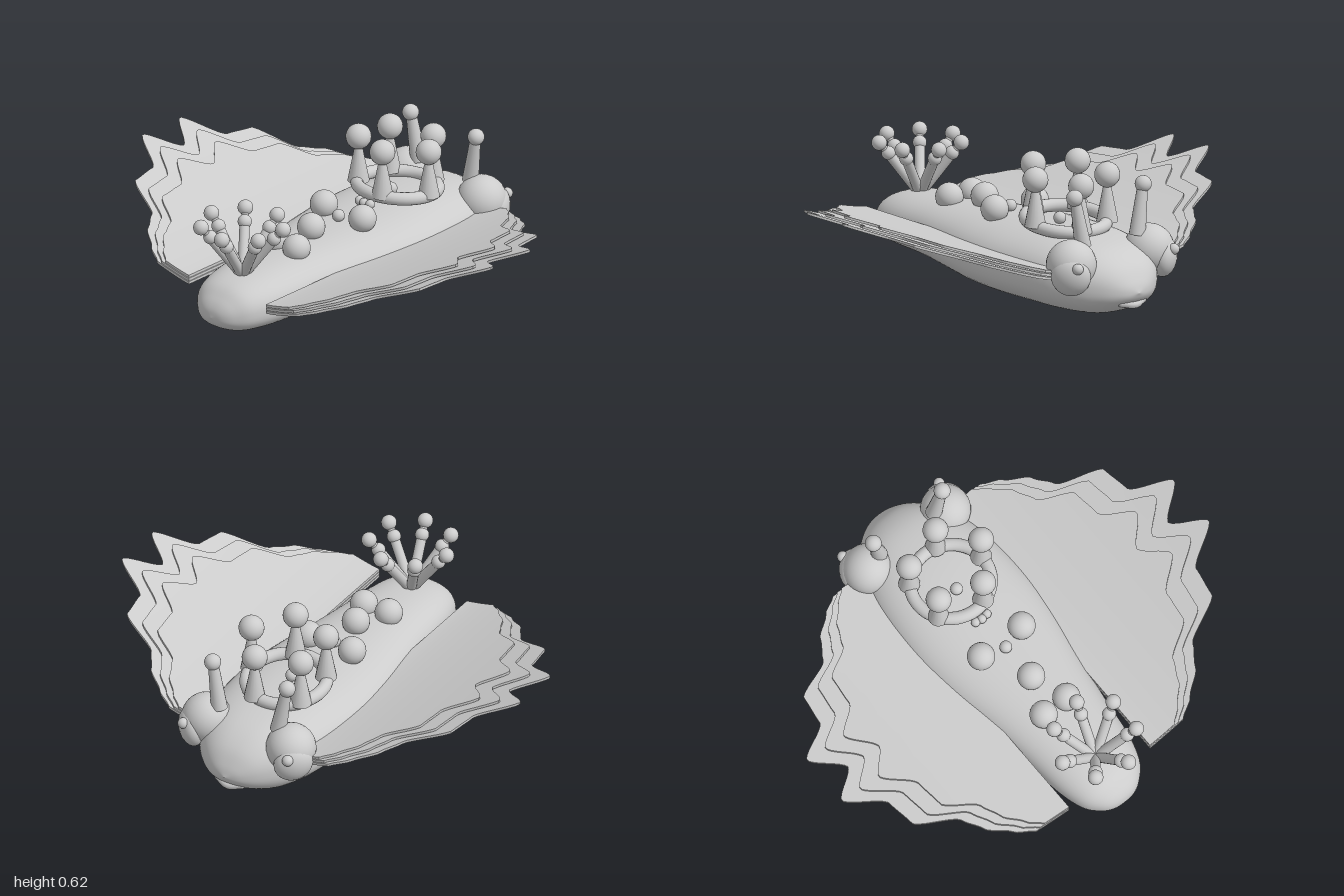
import * as THREE from 'three';
import { toCreasedNormals } from 'three/addons/utils/BufferGeometryUtils.js';

const V = (x, y, z) => new THREE.Vector3(x, y, z);

export function createModel() {
  const model = new THREE.Group();
  model.name = 'seaSlug';
  const skin = new THREE.MeshStandardMaterial({ color: 0xcccccc });
  skin.name = 'paleGrey';

  const add = (name, geometry, parent = model) => {
    const mesh = new THREE.Mesh(geometry, skin);
    mesh.name = name;
    parent.add(mesh);
    return mesh;
  };
  const ball = (name, p, r, parent) => {
    const mesh = add(name, new THREE.SphereGeometry(r, 24, 16), parent);
    mesh.position.copy(p);
    return mesh;
  };
  // Tapered rod between two points
  const rod = (name, a, b, ra, rb, parent) => {
    const d = b.clone().sub(a);
    const mesh = add(name, new THREE.CylinderGeometry(rb, ra, d.length(), 16), parent);
    mesh.position.copy(a).addScaledVector(d, 0.5);
    mesh.quaternion.setFromUnitVectors(V(0, 1, 0), d.normalize());
    return mesh;
  };

  // Body: rounded cross-sections [z, half width, top, bottom] from tail to head
  const stations = [
    [0.82, 0, 0.12, 0.12], [0.81, 0.06, 0.16, 0.09], [0.78, 0.11, 0.2, 0.065],
    [0.72, 0.16, 0.245, 0.045], [0.6, 0.195, 0.27, 0.035], [0.4, 0.22, 0.285, 0.03],
    [0.2, 0.255, 0.295, 0.015], [0, 0.295, 0.305, 0.003], [-0.2, 0.315, 0.315, 0],
    [-0.4, 0.305, 0.32, 0], [-0.55, 0.28, 0.31, 0], [-0.68, 0.225, 0.285, 0.01],
    [-0.77, 0.15, 0.235, 0.045], [-0.82, 0.075, 0.17, 0.085], [-0.84, 0, 0.12, 0.12],
  ];
  const spline = (k) => new THREE.CatmullRomCurve3(
    stations.map((s) => V(s[1], s[k], s[0])), false, 'catmullrom', 0.5);
  const upper = spline(2), lower = spline(3);
  const rows = 70, cols = 48, pos = [], idx = [];
  const soft = (v) => Math.sign(v) * Math.abs(v) ** 0.85;
  for (let i = 0; i <= rows; i++) {
    const a = upper.getPoint(i / rows), b = lower.getPoint(i / rows);
    const mid = b.y + (a.y - b.y) * 0.45;
    for (let j = 0; j < cols; j++) {
      const t = (j / cols) * Math.PI * 2, s = soft(Math.sin(t));
      pos.push(Math.max(a.x, 0) * soft(Math.cos(t)), mid + s * (s > 0 ? a.y - mid : mid - b.y), a.z);
      if (i < rows) {
        const p = i * cols + j, q = i * cols + (j + 1) % cols;
        idx.push(p, p + cols, q, q, p + cols, q + cols);
      }
    }
  }
  const bodyGeo = new THREE.BufferGeometry();
  bodyGeo.setAttribute('position', new THREE.Float32BufferAttribute(pos, 3));
  bodyGeo.setIndex(idx);
  bodyGeo.computeVertexNormals();
  add('body', bodyGeo);

  // Side frills: three stacked thin plates with a scalloped outer edge [z offset, x]
  const edge = [[0, 0.87], [0.117, 1], [0.23, 0.835], [0.365, 0.815], [0.46, 0.63],
    [0.55, 0.575], [0.63, 0.48], [0.68, 0.4]];
  const root = 0.22, thick = 0.012;
  const reach = (d) => {
    let i = 0;
    while (i < edge.length - 2 && d > edge[i + 1][0]) i++;
    const [d0, x0] = edge[i], [d1, x1] = edge[i + 1];
    const k = Math.min(1, (d - d0) / (d1 - d0));
    return x0 + (x1 - x0) * (0.4 * k + 0.6 * k * k * (3 - 2 * k));
  };
  const frill = (side, layer) => {
    const g = new THREE.BoxGeometry(1, 1, 1, 16, 1, 100);
    const p = g.attributes.position;
    for (let i = 0; i < p.count; i++) {
      const u = 0.5 + side * p.getX(i), off = p.getZ(i) * 1.36;
      const full = reach(Math.abs(off)) - root;
      // the scallops fade in toward the rim
      const span = (full * u) * (1 - 0.13 * layer);
      const rise = 0.255 * (span / 0.78) ** 1.25;
      p.setXYZ(i, side * (root + span),
        0.178 + layer * 0.015 + rise + p.getY(i) * thick, 0.035 + off);
    }
    return toCreasedNormals(g, 0.7);
  };
  for (const side of [1, -1])
    for (let layer = 0; layer < 3; layer++)
      add((side > 0 ? 'left' : 'right') + 'Frill' + (layer + 1), frill(side, layer));

  // Eyes with iris, glint and a feeler on top
  for (const s of [1, -1]) {
    const eye = new THREE.Group();
    eye.name = s > 0 ? 'leftEye' : 'rightEye';
    model.add(eye);
    ball('eyeball', V(s * 0.212, 0.24, -0.645), 0.108, eye);
    const iris = ball('iris', V(s * 0.255, 0.205, -0.695), 0.085, eye);
    iris.scale.z = 0.65;
    iris.lookAt(V(s * 0.8, 0.1, -1.2));
    ball('glint', V(s * 0.262, 0.25, -0.75), 0.024, eye);
    rod('feeler', V(s * 0.148, 0.31, -0.645), V(s * 0.185, 0.525, -0.637), 0.036, 0.022, eye);
    ball('feelerTip', V(s * 0.187, 0.525, -0.637), 0.036, eye);
  }

  // Mouth: small curved lip under the snout
  const lip = new THREE.CatmullRomCurve3([V(-0.06, 0.075, -0.79), V(0, 0.064, -0.81), V(0.06, 0.075, -0.79)]);
  add('mouth', new THREE.TubeGeometry(lip, 16, 0.016, 10));
  for (const s of [1, -1]) ball('mouthCorner', V(s * 0.06, 0.075, -0.79), 0.016);

  // Crown on the back: slightly tilted ring with five knobbed spikes
  const ringY = (z) => 0.343 + 0.1 * (z + 0.35);
  const ring = add('crownRing', new THREE.TorusGeometry(0.172, 0.028, 16, 48));
  ring.rotation.x = Math.PI / 2 - 0.1;
  ring.position.set(0, ringY(-0.35), -0.35);
  for (let k = 0; k < 5; k++) {
    const a = (k / 5) * Math.PI * 2;
    const x = 0.172 * Math.cos(a), z = -0.357 + 0.168 * Math.sin(a), y = ringY(z);
    rod('crownSpike', V(x, y, z), V(x, y + 0.17, z), 0.047, 0.014);
    ball('crownKnob', V(x, y + 0.203, z), 0.055);
  }

  // Tail plume: seven branches, each with a joint and a tip
  const base = V(0, 0.25, 0.62);
  for (let k = 0; k < 7; k++) {
    const a = Math.PI + (k / 7) * Math.PI * 2;
    const at = (r, y) => V(r * Math.cos(a), y, base.z + r * Math.sin(a));
    rod('plumeBranch', base, at(0.138, 0.435), 0.022, 0.022);
    ball('plumeJoint', at(0.138, 0.437), 0.03);
    rod('plumeTwig', at(0.138, 0.437), at(0.178, 0.483), 0.016, 0.016);
    ball('plumeTip', at(0.178, 0.484), 0.033);
  }

  // Warts along the back: [x, y, z, radius]
  const warts = [
    [0.11, 0.335, -0.01, 0.06], [-0.11, 0.335, -0.01, 0.06], [0, 0.33, 0.19, 0.06],
    [0.062, 0.305, 0.35, 0.06], [-0.062, 0.305, 0.35, 0.06], [0, 0.325, 0.02, 0.027],
    [0, 0.34, -0.31, 0.027], [0, 0.33, -0.14, 0.02], [0.03, 0.33, -0.145, 0.02], [-0.03, 0.33, -0.145, 0.02],
  ];
  for (const [x, y, z, r] of warts) ball('wart', V(x, y, z), r);

  return model;
}
